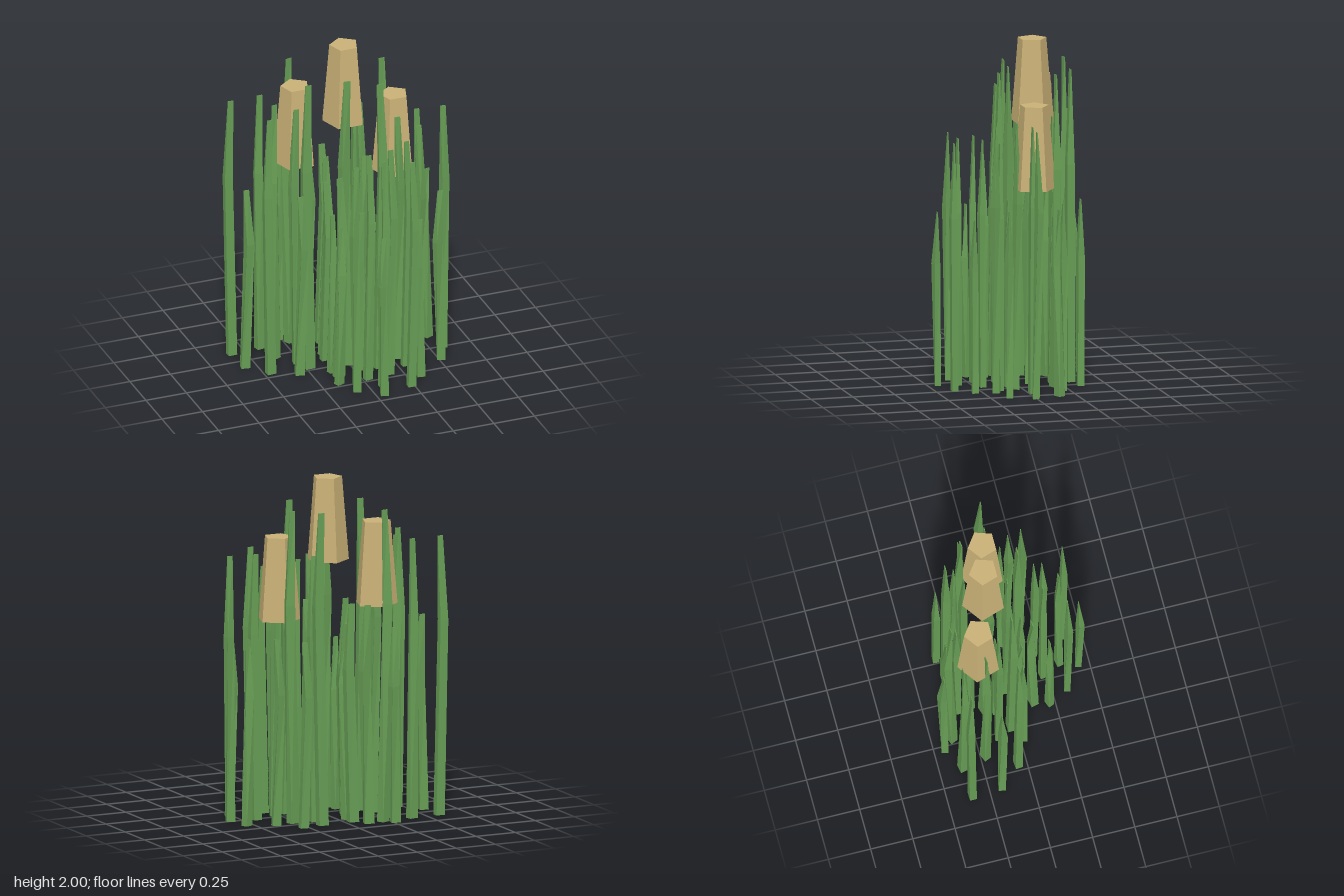
import * as THREE from 'three';

const green = new THREE.MeshStandardMaterial({ color: 0x669c54, flatShading: true });
const tan = new THREE.MeshStandardMaterial({ color: 0xc9b076, flatShading: true });

// Four clumps of reeds: [x, z] of the full-height blades and of the short ones (0.7 of the height)
const clumps = [
  { name: 'backClump', height: 1.83,
    tall: [[-0.22, -0.39], [-0.015, 0], [0.16, -0.32], [0.285, -0.2], [-0.24, -0.03], [0.155, 0.105]],
    short: [[-0.105, -0.385], [-0.1, 0.125], [0.13, -0.08], [-0.04, -0.31], [-0.08, -0.15]] },
  { name: 'leftClump', height: 1.64,
    tall: [[-0.59, -0.36], [-0.41, -0.36], [-0.47, -0.05], [-0.375, -0.215], [-0.28, -0.12]],
    short: [[-0.56, -0.17], [-0.255, -0.44], [-0.3, 0.02], [-0.1, -0.09], [-0.04, -0.23]] },
  { name: 'rightClump', height: 1.56,
    tall: [[0.585, -0.005], [0.43, -0.02], [0.29, 0.035], [0.365, 0.18], [0.155, -0.215]],
    short: [[0.535, -0.145], [0.505, 0.14], [0.38, -0.215], [0.27, -0.35], [0.185, 0.06]] },
  { name: 'frontClump', height: 1.45,
    tall: [[-0.09, 0.34], [0.24, 0.395], [0.04, 0.225], [0.305, 0.14], [0.09, 0.33], [0.18, 0.21]],
    short: [[0.04, 0.44], [0.32, 0.295], [0.04, 0.095], [-0.135, 0.22], [-0.12, 0.055]] },
];

// Seeded random number from -1 to 1
let seed = 7;
function rand() {
  seed = (seed * 16807) % 2147483647;
  return (seed / 2147483647) * 2 - 1;
}

// Four-sided blade: bends sideways at 0.7 of its height and narrows to a thin edge
function makeBlade(x, z, height, size, side) {
  const slant = rand() * 0.8;
  const yaw = rand() * 0.5;
  const levels = [
    { y: 0.005, w: 0.05, d: 0.039, shift: -0.01, turn: yaw },
    { y: 0.7 * height, w: 0.046, d: 0.038, shift: 0.012, turn: -yaw },
    { y: height, w: 0.032, d: 0.004, shift: -0.004, turn: yaw * 0.4 },
  ];
  const geometry = new THREE.BoxGeometry(1, 1, 1, 1, 2, 1);
  const p = geometry.attributes.position;
  for (let i = 0; i < p.count; i++) {
    const { y, w, d, shift, turn } = levels[Math.round((p.getY(i) + 0.5) * 2)];
    const px = p.getX(i) * w;
    const pz = p.getZ(i) * d;
    p.setXYZ(i,
      size * (px * Math.cos(turn) + pz * Math.sin(turn) + side * Math.cos(slant) * shift),
      y,
      size * (pz * Math.cos(turn) - px * Math.sin(turn) + Math.sin(slant) * shift));
  }
  geometry.computeVertexNormals();
  const blade = new THREE.Mesh(geometry, green);
  blade.name = 'blade';
  blade.position.set(x, 0, z);
  return blade;
}

// Five-sided tapering seed head with a corner to the back
function makeSeedHead(x, bottom, z) {
  const height = 0.487;
  const head = new THREE.Mesh(new THREE.CylinderGeometry(0.086, 0.126, height, 5), tan);
  head.name = 'seedHead';
  head.position.set(x, bottom + height / 2, z);
  head.rotation.y = Math.PI;
  return head;
}

export function createModel() {
  const model = new THREE.Group();
  model.name = 'reeds';

  // Tall blades bend outwards, short ones inwards
  for (const { name, height, tall, short } of clumps) {
    const clump = new THREE.Group();
    clump.name = name;
    const size = height / 1.56;
    for (const [x, z] of tall) clump.add(makeBlade(x, z, height, size, Math.sign(x)));
    for (const [x, z] of short) clump.add(makeBlade(x, z, height * 0.7, size, -Math.sign(x)));
    model.add(clump);
  }

  const heads = new THREE.Group();
  heads.name = 'seedHeads';
  heads.add(
    makeSeedHead(0.024, 1.513, -0.131),
    makeSeedHead(-0.239, 1.25, -0.228),
    makeSeedHead(0.304, 1.175, -0.065),
  );
  model.add(heads);
  return model;
}
